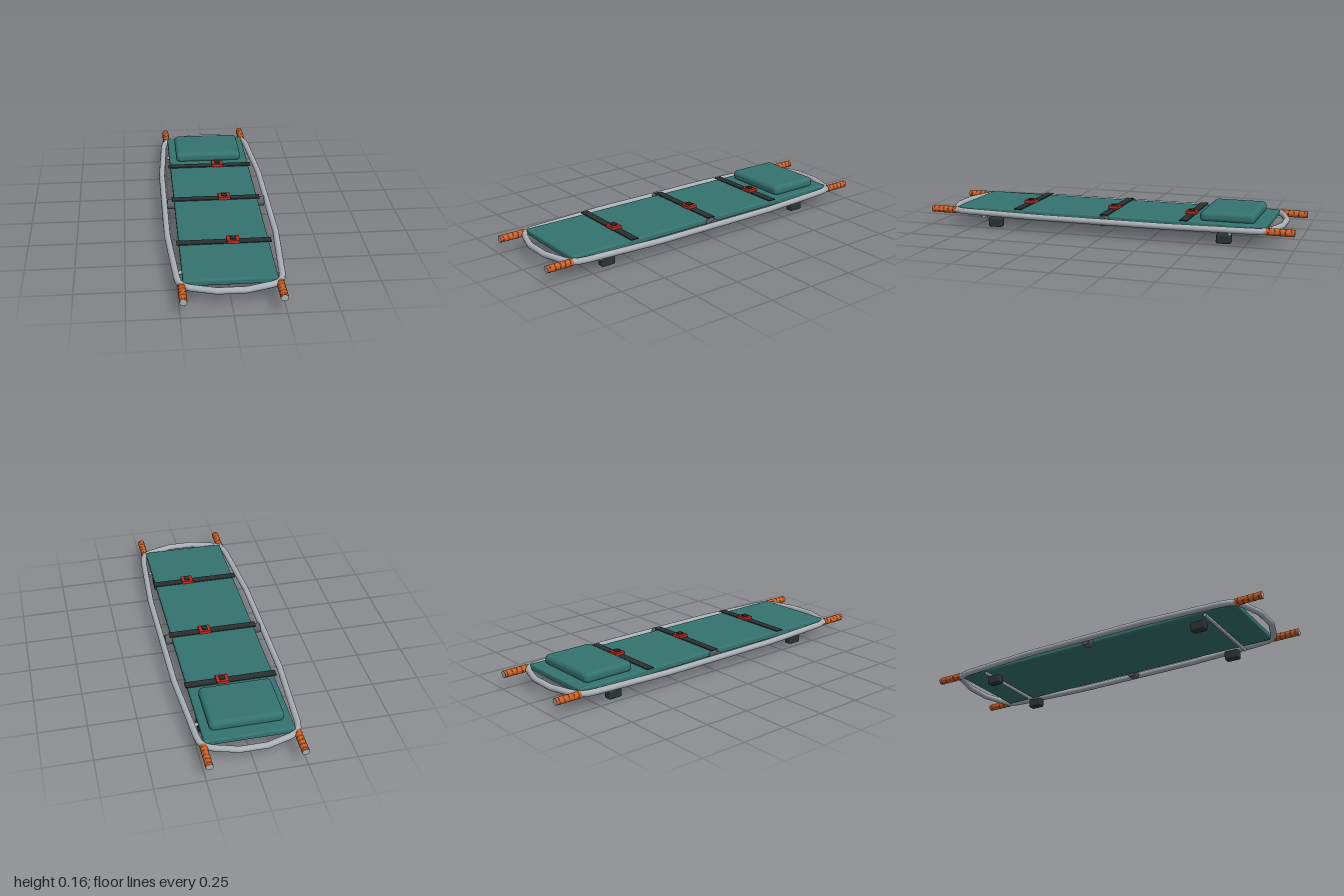
import * as THREE from 'three';
import { RoundedBoxGeometry } from 'three/addons/geometries/RoundedBoxGeometry.js';

const mat = (name, color) => {
  const m = new THREE.MeshStandardMaterial({ color });
  m.name = name;
  return m;
};

// Closed polyline with mitred tangents; each tube segment is one straight run
class FrameCurve extends THREE.Curve {
  constructor(points) { super(); this.points = points; }
  at(i) { const n = this.points.length; return this.points[((i % n) + n) % n]; }
  getPoint(t) {
    const f = t * this.points.length, i = Math.floor(f);
    return this.at(i).clone().lerp(this.at(i + 1), f - i);
  }
  getPointAt(t) { return this.getPoint(t); }
  getTangentAt(t) {
    const i = Math.round(t * this.points.length), p = this.at(i);
    const a = p.clone().sub(this.at(i - 1)).normalize();
    return a.add(this.at(i + 1).clone().sub(p).normalize()).normalize();
  }
}

export function createModel() {
  const group = new THREE.Group();
  group.name = 'stretcher';
  const steel = mat('steel', 0xa9b0b5);
  const teal = mat('teal fabric', 0x34736f);
  const orange = mat('orange grip', 0xd0622a);
  const webbing = mat('black webbing', 0x2a2f30);
  const rubber = mat('dark rubber', 0x2c3333);
  const clampGrey = mat('dark grey clamp', 0x5a6064);
  const red = mat('red buckle', 0xb82c22);

  const add = (name, geo, material, x, y, z, parent = group) => {
    const m = new THREE.Mesh(geo, material);
    m.name = name;
    m.position.set(x, y, z);
    parent.add(m);
    return m;
  };
  const rod = (r, len, axis, sides = 20, open = false) => {
    const g = new THREE.CylinderGeometry(r, r, len, sides, 1, open);
    return axis === 'x' ? g.rotateZ(Math.PI / 2) : g.rotateX(Math.PI / 2);
  };

  // Bent tube frame, one quarter mirrored around
  const quarter = [[0.28, 0.36], [0.253, 0.78], [0.245, 0.825], [0.224, 0.86], [0.19, 0.877], [0.07, 0.914]];
  const back = [...quarter].reverse();
  const outline = [
    [0.28, 0], ...quarter, ...back.map(([x, z]) => [-x, z]),
    [-0.28, 0], ...quarter.map(([x, z]) => [-x, -z]), ...back.map(([x, z]) => [x, -z]),
  ].map(([x, z]) => new THREE.Vector3(x, 0, z));
  add('frame', new THREE.TubeGeometry(new FrameCurve(outline), outline.length, 0.0165, 12, true), steel, 0, 0.085, 0);

  // Padding
  add('mattress', new RoundedBoxGeometry(0.455, 0.033, 1.70, 3, 0.01), teal, 0, 0.0915, 0);
  add('pillow', new RoundedBoxGeometry(0.376, 0.057, 0.286, 4, 0.024), teal, 0, 0.1285, -0.645);

  // Cross bars under the mattress
  for (const z of [0.69, -0.672]) add('crossBar', rod(0.0095, 0.476, 'x', 12), steel, 0, 0.06, z);

  for (const x of [-1, 1]) {
    // Side clamps
    add('clamp', rod(0.027, 0.05, 'x', 16), clampGrey, x * 0.239, 0.085, 0);
    for (const z of [-1, 1]) {
      // Carry handles: steel core, ribbed grip
      const handle = new THREE.Group();
      handle.name = 'handle';
      handle.position.set(x * 0.234, 0.085, z * 0.928);
      group.add(handle);
      add('handleCore', rod(0.016, 0.16, 'z'), steel, 0, 0, -z * 0.008, handle);
      add('grip', rod(0.0185, 0.142, 'z'), orange, 0, 0, 0, handle);
      add('coreEnd', rod(0.016, 0.002, 'z'), steel, 0, 0, z * 0.071, handle);
      for (let i = 0; i < 5; i++) {
        add('gripRib', new THREE.TorusGeometry(0.0175, 0.0025, 6, 20), orange, 0, 0, -0.056 + i * 0.028, handle);
      }
      // Feet
      add('foot', new RoundedBoxGeometry(0.045, 0.05, 0.078, 3, 0.009), rubber, x * 0.197, 0.025, z * 0.635);
    }
  }

  // Straps with buckles
  for (const z of [-0.43, 0, 0.49]) {
    add('strap', new THREE.BoxGeometry(0.478, 0.005, 0.042), webbing, 0, 0.1125, z);
    add('buckle', new THREE.BoxGeometry(0.064, 0.016, 0.056), red, 0.045, 0.121, z);
    add('buckleButton', new THREE.BoxGeometry(0.03, 0.006, 0.03), webbing, 0.045, 0.131, z);
  }
  return group;
}
